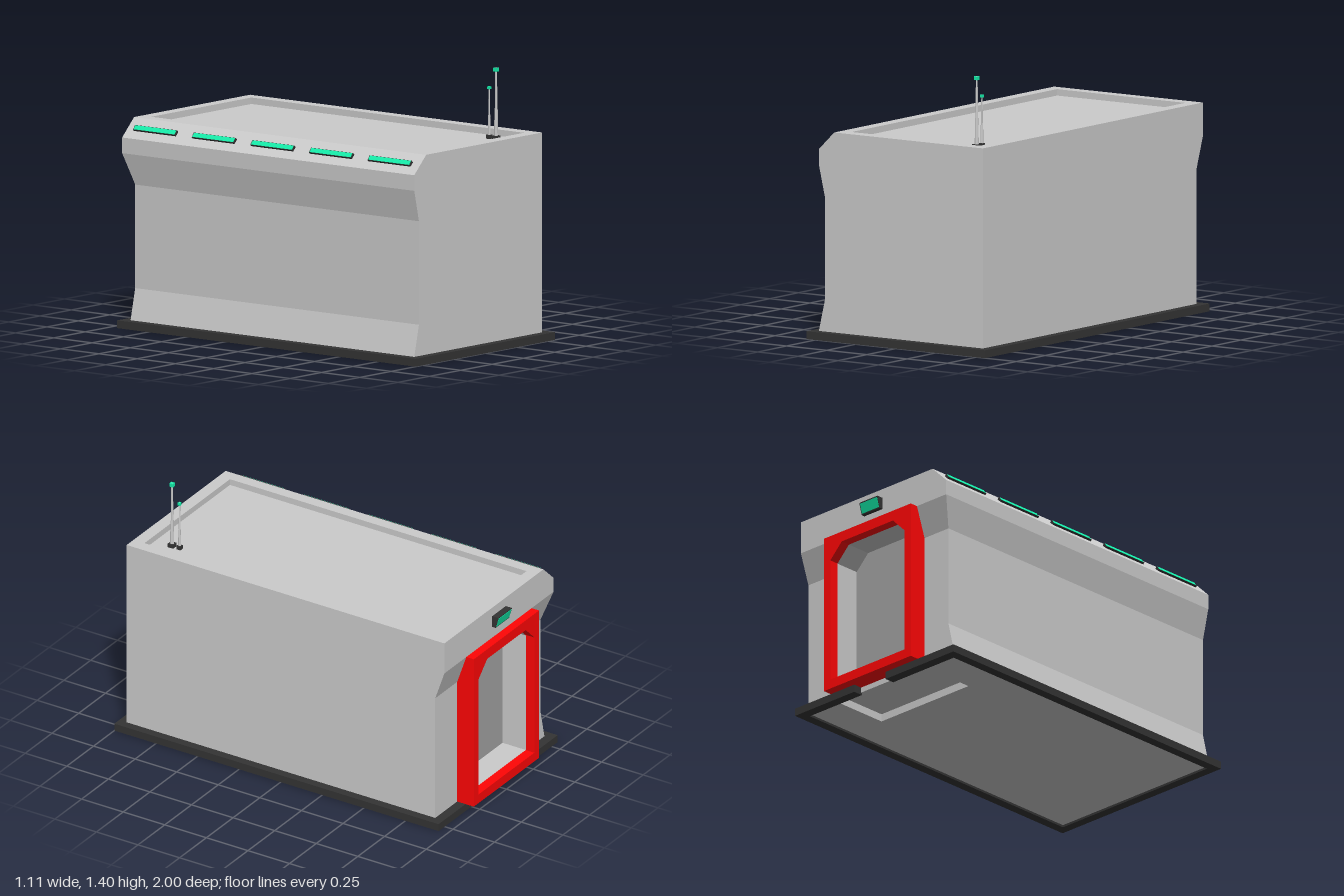
import * as THREE from 'three';
import { mergeGeometries } from 'three/addons/utils/BufferGeometryUtils.js';

const material = (color, side = THREE.FrontSide) =>
  new THREE.MeshStandardMaterial({ color, side, flatShading: true });
const GREY = material(0xcccccc);
const SHELL = material(0xcccccc, THREE.DoubleSide);
const DOOR = material(0xa2a2a2);
const DARK = material(0x343434);
const RED = material(0xff0505);
const GREEN = material(0x14f0ac);

const UNDERSIDE = 0.012, PLINTH = 0.04, ROOF = 1.03, TOP = 1.063, FRONT = 0.955, DOOR_Z = -0.81;

// The back wall steps inward below the eaves
const backZ = (y) => -0.9 - 0.055 * THREE.MathUtils.clamp((y - 0.73) / 0.16, 0, 1);

const toShape = (pts) => new THREE.Shape(pts.map(([x, y]) => new THREE.Vector2(x, y)));
const rect = (x0, y0, x1, y1) => [[x0, y0], [x1, y0], [x1, y1], [x0, y1]];

function mesh(name, geometry, mat, x = 0, y = 0, z = 0) {
  const m = new THREE.Mesh(geometry, mat);
  m.name = name;
  m.position.set(x, y, z);
  return m;
}

// Filled outline, placed in space by map(x, y) -> [x, y, z]
function panel(pts, map, flip = false, hole = null) {
  const shape = toShape(pts);
  if (hole) shape.holes.push(toShape(hole));
  const geo = new THREE.ShapeGeometry(shape).toNonIndexed();
  const src = geo.attributes.position;
  const out = [];
  for (let i = 0; i < src.count; i += 3) {
    for (const k of flip ? [0, 2, 1] : [0, 1, 2]) out.push(...map(src.getX(i + k), src.getY(i + k)));
  }
  return triangles(out);
}

// Band of quads between two placements of the same line
function strip(pts, a, b, closed = false) {
  const out = [];
  for (let i = 0; i < pts.length - (closed ? 0 : 1); i++) {
    const p = pts[i], q = pts[(i + 1) % pts.length];
    out.push(...a(...p), ...a(...q), ...b(...q), ...a(...p), ...b(...q), ...b(...p));
  }
  return triangles(out);
}

function triangles(values) {
  const geo = new THREE.BufferGeometry();
  geo.setAttribute('position', new THREE.Float32BufferAttribute(values, 3));
  geo.computeVertexNormals();
  return geo;
}

const atZ = (z) => (x, y) => [x, y, z];
const atY = (h) => (x, y) => [x, h, -y];
const onBack = (x, y) => [x, y, backZ(y)];

// Doorway outline with clipped upper corners
const doorway = (d = 0) => [
  [-0.26 + d, 0.09 + d], [0.26 - d, 0.09 + d], [0.26 - d, 0.755 - d],
  [0.18 - d, 0.835 - d], [-0.18 + d, 0.835 - d], [-0.26 + d, 0.755 - d],
];
const ALCOVE = doorway(0.002);

function bodyGeometry() {
  const left = [[-0.415, TOP], [-0.51, 0.97], [-0.51, 0.89], [-0.473, 0.73], [-0.473, 0.2],
    [-0.51, PLINTH], [-0.51, UNDERSIDE]];
  const right = [[0.51, UNDERSIDE], [0.51, 0.73], [0.51, 0.89], [0.51, TOP]];
  const roofWell = rect(-0.353, -0.89, 0.445, 0.893);
  const pit = rect(-0.305, 0.58, 0.305, 0.88);
  return mergeGeometries([
    // side walls and front
    strip(left, onBack, atZ(FRONT)),
    strip(right, onBack, atZ(FRONT)),
    panel([...left, ...right], atZ(FRONT)),
    // back wall in three bands around the doorway
    panel([[-0.51, UNDERSIDE], [0.51, UNDERSIDE], [0.51, 0.73], [0.26, 0.73], [0.26, 0.09], [-0.26, 0.09],
      [-0.26, 0.73], [-0.473, 0.73], [-0.473, 0.2], [-0.51, PLINTH]], onBack, true),
    panel([[0.51, 0.73], [0.51, 0.89], [-0.51, 0.89], [-0.473, 0.73], [-0.26, 0.73], [-0.26, 0.755],
      [-0.18, 0.835], [0.18, 0.835], [0.26, 0.755], [0.26, 0.73]], onBack, true),
    panel([[0.51, 0.89], [0.51, TOP], [-0.415, TOP], [-0.51, 0.97], [-0.51, 0.89]], onBack, true),
    // door alcove sides
    strip(ALCOVE, atZ(DOOR_Z), atZ(-0.95), true),
    // roof with sunken well
    panel(rect(-0.415, -FRONT, 0.51, FRONT), atY(TOP), false, roofWell),
    strip(roofWell, atY(TOP), atY(ROOF), true),
    panel(roofWell, atY(ROOF)),
    // underside with shallow pit
    panel(rect(-0.51, -FRONT, 0.51, 0.9), atY(UNDERSIDE), true, pit),
    strip(pit, atY(0.052), atY(UNDERSIDE), true),
    panel(pit, atY(0.052), true),
  ]);
}

// Red surround whose rear follows the back wall
function doorFrameGeometry() {
  const shape = toShape([[-0.305, PLINTH], [0.305, PLINTH], [0.305, 0.73], [0.305, 0.89], [-0.305, 0.89], [-0.305, 0.73]]);
  shape.holes.push(toShape(doorway()));
  const geo = new THREE.ExtrudeGeometry(shape, { depth: 0.1, bevelEnabled: false });
  const pos = geo.attributes.position;
  for (let i = 0; i < pos.count; i++) {
    pos.setZ(i, pos.getZ(i) > 0.05 ? backZ(pos.getY(i)) : -1);
  }
  return geo;
}

// Ring around the foot of the walls, with a gap below the door
function plinthGeometry() {
  const shape = toShape([
    [-0.08, 0.95], [-0.556, 0.95], [-0.556, -1], [0.556, -1], [0.556, 0.95], [0.14, 0.95],
    [0.14, 0.895], [0.505, 0.895], [0.505, -0.95], [-0.505, -0.95], [-0.505, 0.895], [-0.08, 0.895],
  ]);
  return new THREE.ExtrudeGeometry(shape, { depth: PLINTH, bevelEnabled: false }).rotateX(-Math.PI / 2);
}

// Wedge lamp: back on the local z = 0 plane, thicker at the top, lit face in front
function wedgeLamp(name, width, height, topDepth, bottomDepth) {
  const group = new THREE.Group();
  group.name = name;
  const h = height / 2;
  const housing = new THREE.ExtrudeGeometry(
    toShape([[0, -h], [bottomDepth, -h], [topDepth, h], [0, h]]), { depth: width, bevelEnabled: false });
  housing.translate(0, 0, -width / 2).rotateY(-Math.PI / 2);
  const slope = Math.atan2(topDepth - bottomDepth, height);
  const lens = mesh('lens', new THREE.BoxGeometry(width - 0.008, height * 0.86, 0.002), GREEN,
    0, 0, (topDepth + bottomDepth) / 2 + 0.0005);
  lens.rotation.x = slope;
  group.add(mesh('housing', housing, DARK), lens);
  return group;
}

// Stepped mast on a small foot with a green tip
function antenna(name, z, tip, r) {
  const group = new THREE.Group();
  group.name = name;
  const h = tip - ROOF;
  group.position.set(0.35, ROOF, z);
  const lower = h * 0.42, upper = h - lower;
  group.add(
    mesh('foot', new THREE.BoxGeometry(r * 3, 0.02, r * 3), DARK, 0, 0.01, 0),
    mesh('lowerMast', new THREE.CylinderGeometry(r * 0.8, r, lower, 8), GREY, 0, lower / 2, 0),
    mesh('upperMast', new THREE.CylinderGeometry(r * 0.4, r * 0.65, upper, 8), GREY, 0, lower + upper / 2, 0),
    mesh('tip', new THREE.BoxGeometry(r * 1.9, r * 1.7, r * 1.9), GREEN, 0, h - r * 0.85, 0),
  );
  return group;
}

export function createModel() {
  const model = new THREE.Group();
  model.name = 'shelter';
  model.add(
    mesh('body', bodyGeometry(), SHELL),
    mesh('door', panel(ALCOVE, atZ(DOOR_Z), true), DOOR),
    mesh('plinth', plinthGeometry(), DARK),
    mesh('doorFrame', doorFrameGeometry(), RED),
    antenna('tallAntenna', 0.785, 1.397, 0.011),
    antenna('shortAntenna', 0.74, 1.297, 0.008),
  );

  // Lamp above the door
  const doorLamp = wedgeLamp('doorLamp', 0.127, 0.062, 0.038, 0.02);
  doorLamp.position.set(0, 0.983, -0.955);
  doorLamp.rotation.y = Math.PI;
  model.add(doorLamp);

  // Row of lamps along the sloping roof edge
  const up = new THREE.Vector3(0.095, TOP - 0.97, 0).normalize();
  const out = new THREE.Vector3(-up.y, up.x, 0);
  const side = new THREE.Vector3().crossVectors(up, out);
  for (let i = 0; i < 5; i++) {
    const lamp = wedgeLamp('roofLamp', 0.275, 0.028, 0.014, 0.01);
    lamp.quaternion.setFromRotationMatrix(new THREE.Matrix4().makeBasis(side, up, out));
    lamp.position.set(-0.465, 1.014, -0.77 + i * 0.3835);
    model.add(lamp);
  }
  return model;
}
